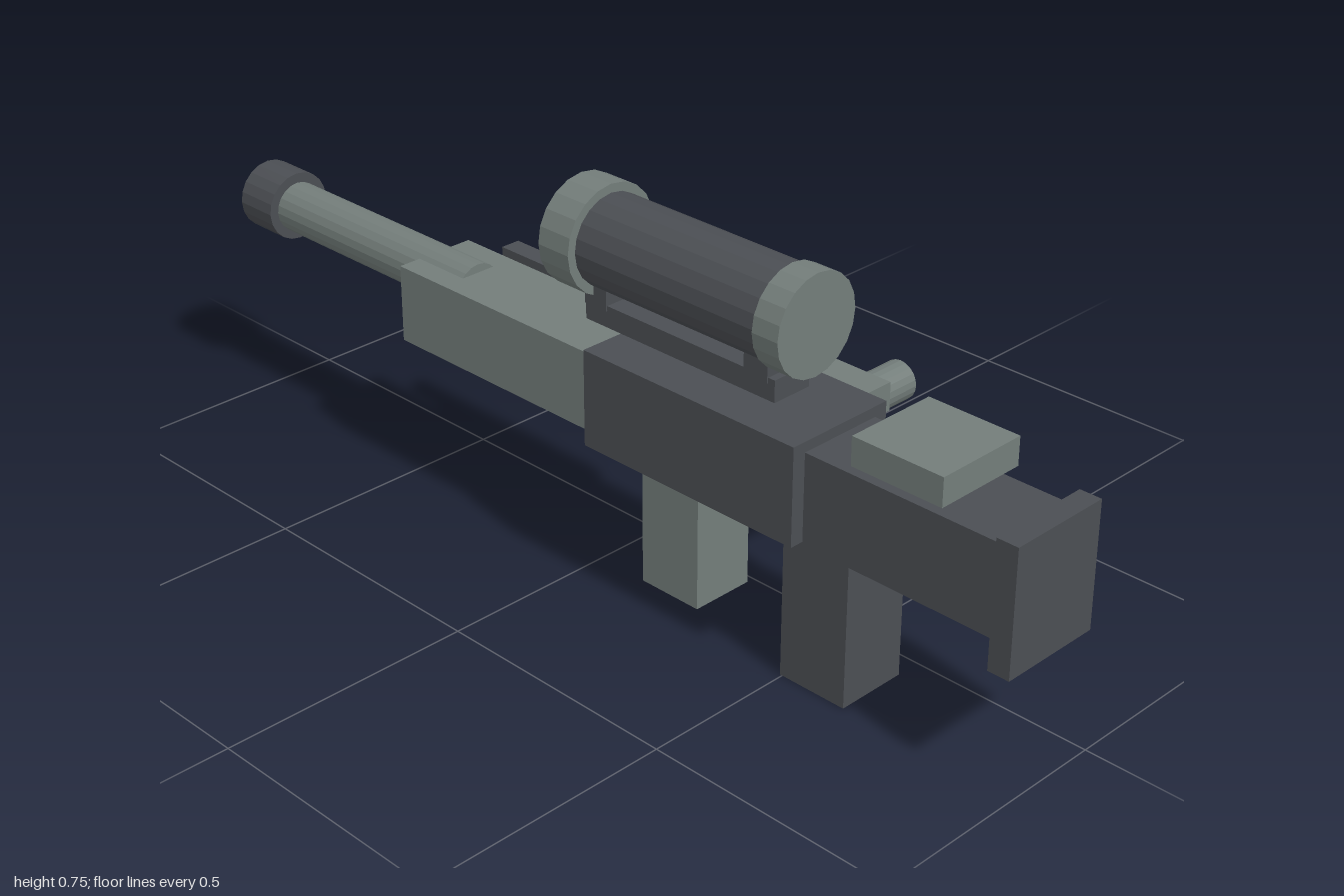
import * as THREE from 'three';

const X = -0.122; // centre line of the body

export function createModel() {
  const model = new THREE.Group();
  model.name = 'scopedToy';

  const dark = new THREE.MeshStandardMaterial({ color: 0x4b4e53 });
  dark.name = 'charcoal';
  const light = new THREE.MeshStandardMaterial({ color: 0x737d7a });
  light.name = 'sageGrey';

  const add = (name, geometry, material, x, y, z) => {
    const mesh = new THREE.Mesh(geometry, material);
    mesh.name = name;
    mesh.position.set(x, y, z);
    model.add(mesh);
  };

  // Box from its limits on each axis
  const box = (name, material, [x0, x1], [y0, y1], [z0, z1]) =>
    add(name, new THREE.BoxGeometry(x1 - x0, y1 - y0, z1 - z0), material,
      (x0 + x1) / 2, (y0 + y1) / 2, (z0 + z1) / 2);

  // Faceted cylinder lying along z on the centre line
  const tube = (name, material, r, y, [z0, z1]) => {
    const g = new THREE.CylinderGeometry(r, r, z1 - z0, 20).rotateX(Math.PI / 2).toNonIndexed();
    g.computeVertexNormals();
    add(name, g, material, X, y, (z0 + z1) / 2);
  };

  const wide = (w) => [X - w / 2, X + w / 2];

  // Stock
  box('buttPlate', dark, wide(0.209), [0.243, 0.485], [0.957, 1]);
  box('stock', dark, wide(0.174), [0.29, 0.465], [0.54, 0.945]);
  box('cheekPad', light, wide(0.19), [0.485, 0.54], [0.655, 0.843]);

  // Body
  box('receiver', dark, wide(0.23), [0.296, 0.485], [0.055, 0.55]);
  box('foreEnd', light, wide(0.17), [0.305, 0.46], [-0.48, 0.06]);
  box('sideRail', dark, [-0.021, 0.02], [0.405, 0.466], [-0.4, 0.11]);
  box('grip', dark, wide(0.145), [0, 0.3], [0.495, 0.64]);
  box('magazine', light, wide(0.13), [0.035, 0.29], [0.15, 0.287]);

  // Barrel
  tube('barrel', light, 0.051, 0.426, [-0.91, -0.355]);
  tube('muzzle', dark, 0.07, 0.427, [-1, -0.905]);

  // Side handle
  box('handleBlock', light, [-0.03, 0.113], [0.387, 0.443], [0.325, 0.459]);
  const rod = new THREE.CylinderGeometry(0.038, 0.038, 0.204, 20).rotateZ(-Math.PI / 2).toNonIndexed();
  rod.computeVertexNormals();
  add('handleRod', rod, light, 0.133, 0.375, 0.38);

  // Scope and its mount
  box('scopeRail', dark, wide(0.085), [0.498, 0.54], [-0.014, 0.44]);
  for (const z of [0.013, 0.398]) {
    box('scopeFoot', dark, wide(0.09), [0.53, 0.575], [z - 0.027, z + 0.027]);
  }
  tube('scopeTube', dark, 0.088, 0.645, [0, 0.44]);
  tube('scopeEyepiece', light, 0.095, 0.645, [0.434, 0.491]);
  tube('scopeFrontRing', light, 0.105, 0.645, [-0.067, 0.008]);

  return model;
}
